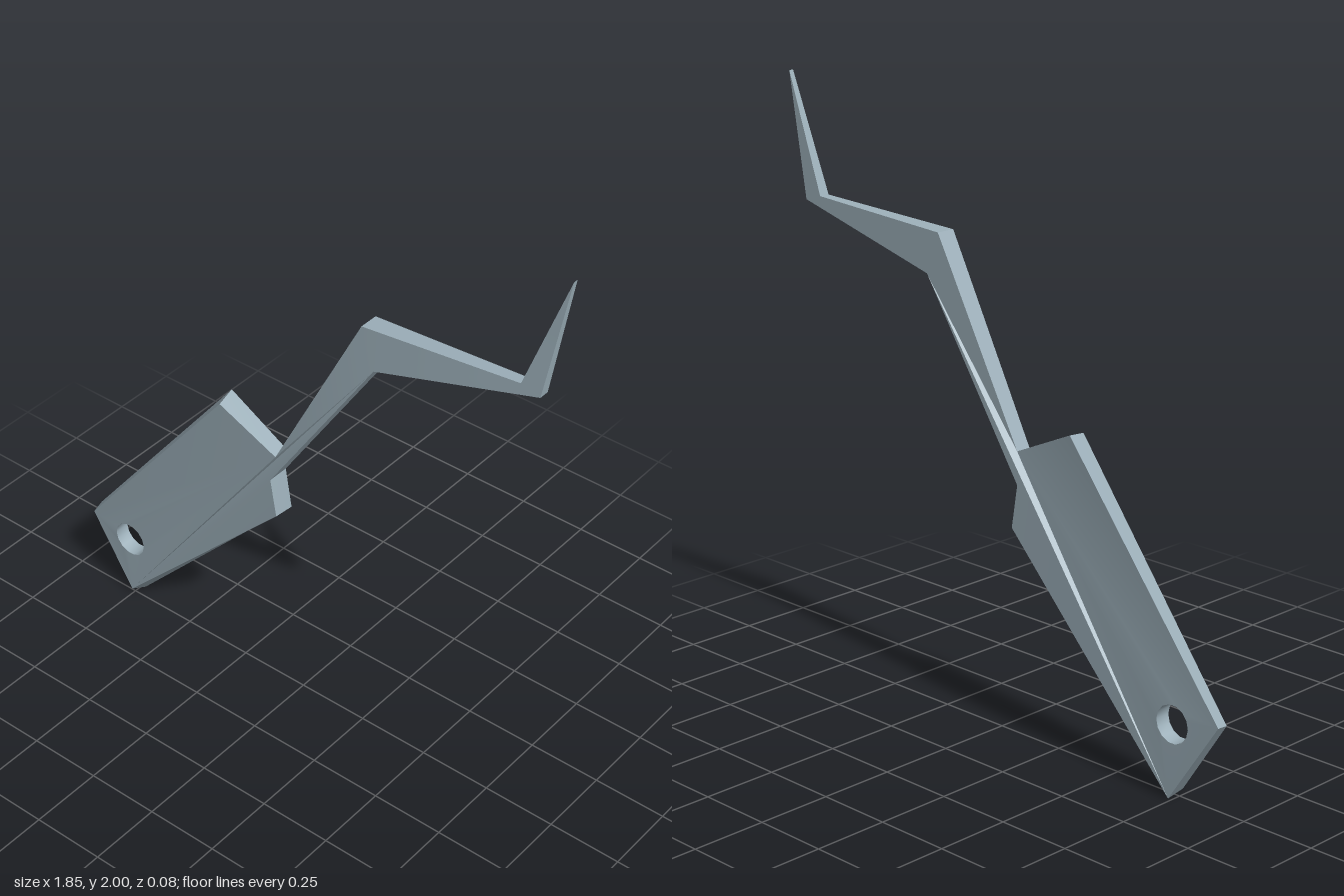
import * as THREE from 'three';
import { toCreasedNormals } from 'three/addons/utils/BufferGeometryUtils.js';

// Corners of the tool: front [x, y, z], then back [x, y, z]
const corners = [
  [[-0.75, 0.02, 0.015], [-0.737, 0, -0.038]],
  [[-0.08, 0.705, 0.038], [-0.08, 0.697, -0.038]],
  [[-0.103, 0.84, 0.038], [-0.103, 0.84, -0.038]],
  [[0.29, 1.44, 0.032], [0.29, 1.44, -0.038]],
  [[0.85, 1.59, -0.003], [0.85, 1.59, -0.038]],
  [[0.92, 2, -0.022], [0.92, 2, -0.038]],
  [[0.783, 1.61, -0.002], [0.783, 1.61, -0.038]],
  [[0.24, 1.577, 0.028], [0.24, 1.577, -0.038]],
  [[-0.083, 0.94, 0.036], [-0.083, 0.94, -0.018]],
  [[-0.31, 1.037, 0.035], [-0.322, 1.047, -0.038]],
  [[-0.917, 0.275, 0.01], [-0.925, 0.283, -0.038]],
];
const hole = { x: -0.747, y: 0.243, r: 0.062 };

export function createModel() {
  const group = new THREE.Group();
  group.name = 'pick';
  const steel = new THREE.MeshStandardMaterial({ color: 0x9db0ba });
  steel.name = 'blue grey steel';

  // Outline with the round hanging hole
  const shape = new THREE.Shape(corners.map(([f]) => new THREE.Vector2(f[0], f[1])));
  const ring = [];
  for (let i = 0; i < 14; i++) {
    const a = (i / 14) * Math.PI * 2;
    ring.push(new THREE.Vector2(hole.x + hole.r * Math.cos(a), hole.y + hole.r * Math.sin(a)));
  }
  shape.holes.push(new THREE.Path(ring));
  const geometry = new THREE.ExtrudeGeometry(shape, { depth: 1, bevelEnabled: false });

  // Taper the thickness and slant the sides by moving each corner
  const p = geometry.attributes.position;
  for (let i = 0; i < p.count; i++) {
    const x = p.getX(i), y = p.getY(i), front = p.getZ(i) > 0.5;
    const corner = corners.find(([f]) => Math.hypot(f[0] - x, f[1] - y) < 0.001);
    if (corner) p.setXYZ(i, ...corner[front ? 0 : 1]);
    else p.setZ(i, front ? 0.016 : -0.038);
  }
  geometry.computeVertexNormals();

  const blade = new THREE.Mesh(toCreasedNormals(geometry, 0.5), steel);
  blade.name = 'handleAndHook';
  group.add(blade);
  return group;
}
